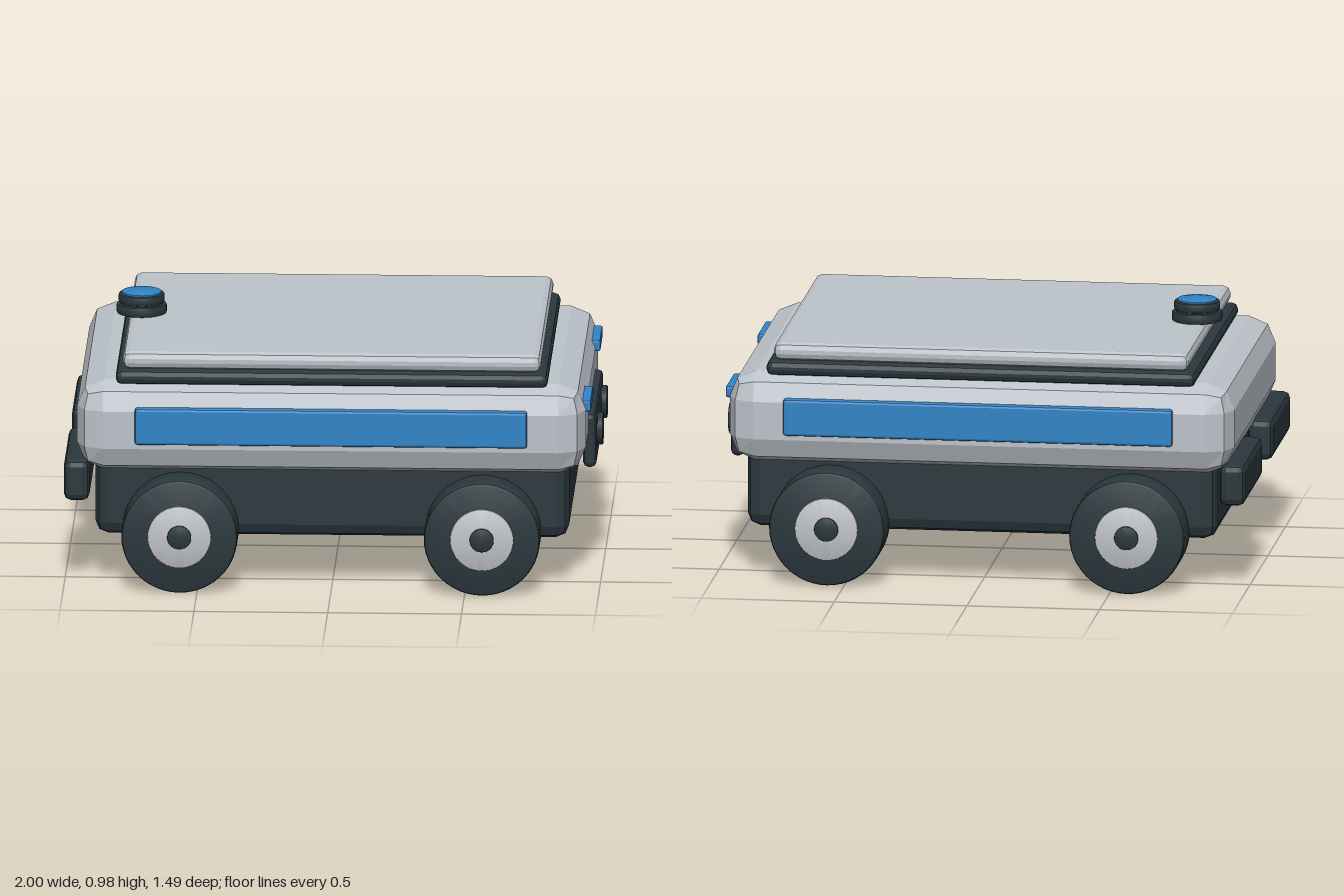
import * as THREE from 'three';
import { toCreasedNormals } from 'three/addons/utils/BufferGeometryUtils.js';
import { RoundedBoxGeometry } from 'three/addons/geometries/RoundedBoxGeometry.js';

const material = (name, color) => {
  const m = new THREE.MeshStandardMaterial({ color });
  m.name = name;
  return m;
};

export function createModel() {
  const model = new THREE.Group();
  model.name = 'deliveryRover';
  const shellGrey = material('shellGrey', 0xbcc3ca);
  const hubGrey = material('hubGrey', 0xc3c6c9);
  const charcoal = material('charcoal', 0x2b383e);
  const blue = material('blue', 0x3185c7);

  const add = (parent, name, geometry, mat) => {
    const mesh = new THREE.Mesh(geometry, mat);
    mesh.name = name;
    parent.add(mesh);
    return mesh;
  };

  // Box between two corners with a two-step faceted bevel
  const block = (name, mat, [x0, x1], [y0, y1], [z0, z1], bevel) => {
    const g = new RoundedBoxGeometry(x1 - x0, y1 - y0, z1 - z0, 1, bevel);
    g.computeVertexNormals();
    g.translate((x0 + x1) / 2, (y0 + y1) / 2, (z0 + z1) / 2);
    return add(model, name, g, mat);
  };

  // Disc along y from 0 to height, with softened rims
  const disc = (radius, height, bevel) => {
    const k = bevel * 0.3;
    const profile = [
      [0, 0], [radius - bevel, 0], [radius - k, k], [radius, bevel],
      [radius, height - bevel], [radius - k, height - k], [radius - bevel, height], [0, height],
    ].map(([x, y]) => new THREE.Vector2(x, y));
    return toCreasedNormals(new THREE.LatheGeometry(profile, 48), 0.5);
  };

  // Body: chassis, shell, seal and lid
  block('chassis', charcoal, [-0.885, 0.885], [0.187, 0.5], [-0.6, 0.6], 0.05);
  block('shell', shellGrey, [-0.952, 0.948], [0.444, 0.787], [-0.684, 0.684], 0.1);
  block('lidSeal', charcoal, [-0.807, 0.807], [0.775, 0.831], [-0.626, 0.626], 0.022);
  block('lid', shellGrey, [-0.781, 0.781], [0.832, 0.898], [-0.613, 0.613], 0.025);

  for (const s of [-1, 1]) {
    const span = (a, b) => (s > 0 ? [a, b] : [-b, -a]);
    block('sidePanel', blue, [-0.733, 0.733], [0.564, 0.704], span(0.66, 0.705), 0.01);
    block('headlight', blue, [0.92, 0.967], [0.674, 0.718], span(0.337, 0.566), 0.008);
    block('rearBumper', charcoal, [-1, -0.904], [0.334, 0.491], span(0.132, 0.662), 0.026);
  }

  // Sensor panel with two round lenses
  block('sensorPanel', charcoal, [0.928, 0.978], [0.4, 0.61], [-0.343, 0.343], 0.02);
  for (const z of [-0.2, 0.2]) {
    const lens = add(model, 'sensorLens', disc(0.061, 0.05, 0.004), charcoal);
    lens.rotation.z = -Math.PI / 2;
    lens.position.set(0.949, 0.518, z);
  }

  // Beacon at the rear of the lid
  const beacon = new THREE.Group();
  beacon.name = 'beacon';
  beacon.position.set(-0.734, 0.896, 0);
  model.add(beacon);
  add(beacon, 'beaconBase', disc(0.094, 0.038, 0.008), charcoal);
  add(beacon, 'beaconNeck', disc(0.08, 0.02, 0.003), charcoal).position.y = 0.03;
  add(beacon, 'beaconCollar', disc(0.086, 0.035, 0.008), charcoal).position.y = 0.042;
  add(beacon, 'beaconLight', disc(0.074, 0.008, 0.002), blue).position.y = 0.075;

  // Wheels, each with its outer face pointing away from the body
  for (const x of [-0.565, 0.565]) {
    for (const s of [-1, 1]) {
      const wheel = new THREE.Group();
      wheel.name = 'wheel';
      wheel.position.set(x, 0.219, s * 0.555);
      wheel.rotation.x = s * Math.PI / 2;
      model.add(wheel);
      add(wheel, 'tyre', disc(0.217, 0.177, 0.012), charcoal);
      add(wheel, 'hub', disc(0.118, 0.03, 0.003), hubGrey).position.y = 0.152;
      add(wheel, 'hubCap', disc(0.045, 0.03, 0.003), charcoal).position.y = 0.159;
    }
  }
  return model;
}
